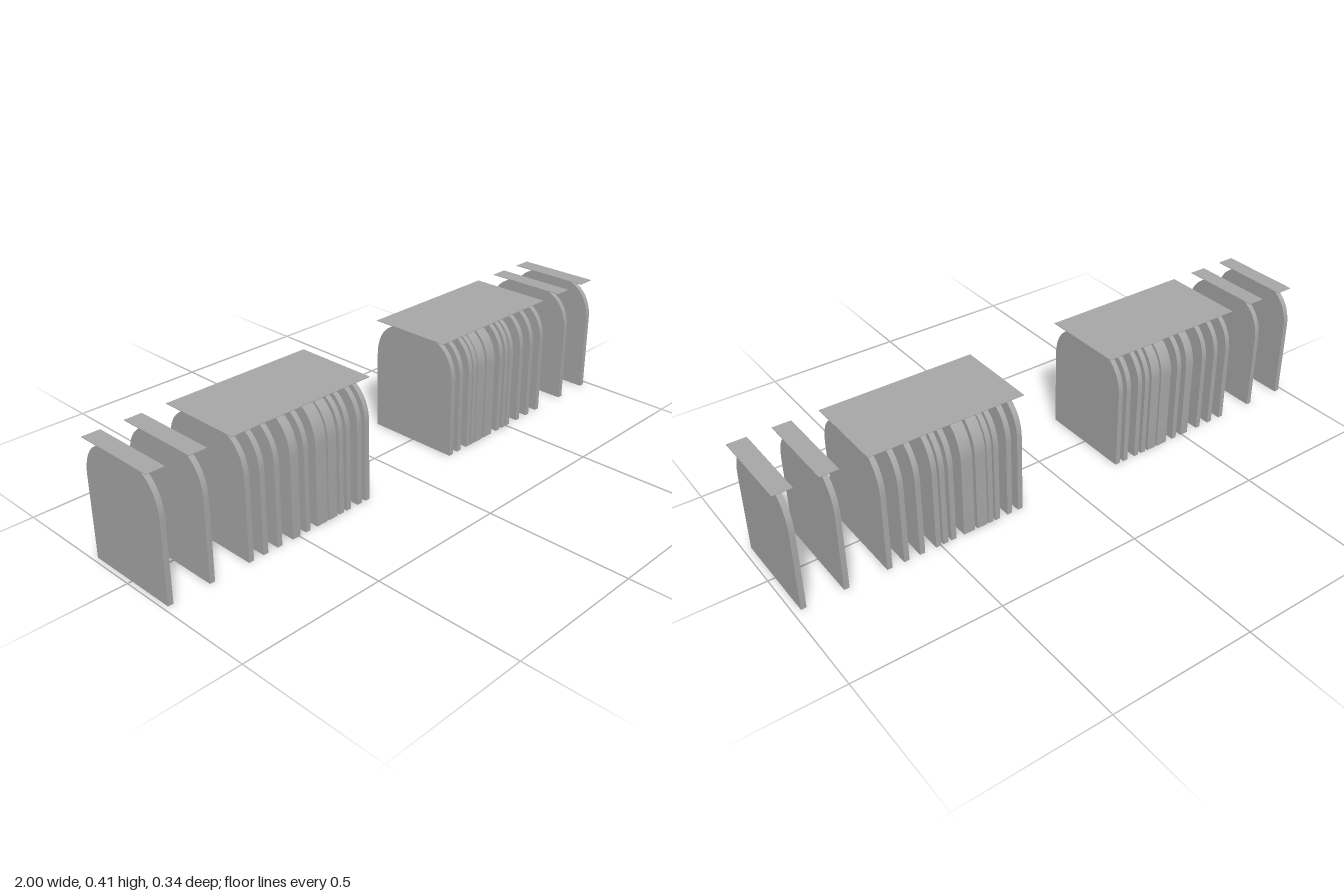
import * as THREE from 'three';
import { toCreasedNormals } from 'three/addons/utils/BufferGeometryUtils.js';

const HALF_DEPTH = 0.169, HEIGHT = 0.412, THICK = 0.018;

// Round-shouldered slab outline, drawn in the z-y plane
function archShape() {
  const w = HALF_DEPTH, h = HEIGHT;
  const s = new THREE.Shape();
  s.moveTo(-w, 0);
  s.lineTo(w, 0);
  s.lineTo(w, 0.275);
  s.bezierCurveTo(w, 0.35, 0.125, h, 0.03, h);
  s.lineTo(-0.03, h);
  s.bezierCurveTo(-0.125, h, -w, 0.35, -w, 0.275);
  s.closePath();
  return s;
}

// Each entry is [centre x, thickness]; thicker ones are slabs set side by side
const SLABS = [
  [-0.976, THICK], [-0.831, THICK], [-0.687, THICK], [-0.632, THICK], [-0.577, THICK],
  [-0.510, 0.031], [-0.463, THICK], [-0.404, 0.043], [-0.358, 0.035], [-0.321, THICK],
  [-0.290, THICK], [-0.242, THICK], [-0.208, THICK],
  [0.199, THICK], [0.240, THICK], [0.287, THICK], [0.312, THICK], [0.345, 0.038],
  [0.394, 0.041], [0.452, THICK], [0.482, THICK], [0.508, THICK], [0.566, THICK],
  [0.622, THICK], [0.681, THICK], [0.827, THICK], [0.967, THICK],
];

// Thin top plates as [x start, x end]
const PLATES = [
  [-1, -0.939], [-0.861, -0.8], [-0.715, -0.175],
  [0.165, 0.706], [0.796, 0.858], [0.936, 1],
];

export function createModel() {
  const model = new THREE.Group();
  model.name = 'slabRow';
  const grey = new THREE.MeshStandardMaterial({ color: 0xa6a6a6 });
  grey.name = 'grey';

  // Upright slabs, all from one unit-thick extrusion
  const extruded = new THREE.ExtrudeGeometry(archShape(), {
    depth: 1, bevelEnabled: false, curveSegments: 12,
  });
  extruded.translate(0, 0, -0.5).rotateY(Math.PI / 2);
  const slabGeometry = toCreasedNormals(extruded, 0.5);
  const slabs = new THREE.Group();
  slabs.name = 'slabs';
  for (const [x, thickness] of SLABS) {
    const slab = new THREE.Mesh(slabGeometry, grey);
    slab.name = 'slab';
    slab.scale.x = thickness;
    slab.position.x = x;
    slabs.add(slab);
  }

  // Flat plates resting on the slab tops
  const plates = new THREE.Group();
  plates.name = 'topPlates';
  for (const [x0, x1] of PLATES) {
    const plate = new THREE.Mesh(new THREE.BoxGeometry(x1 - x0, 0.002, 0.296), grey);
    plate.name = 'topPlate';
    plate.position.set((x0 + x1) / 2, HEIGHT + 0.0005, 0);
    plates.add(plate);
  }

  model.add(slabs, plates);
  return model;
}
